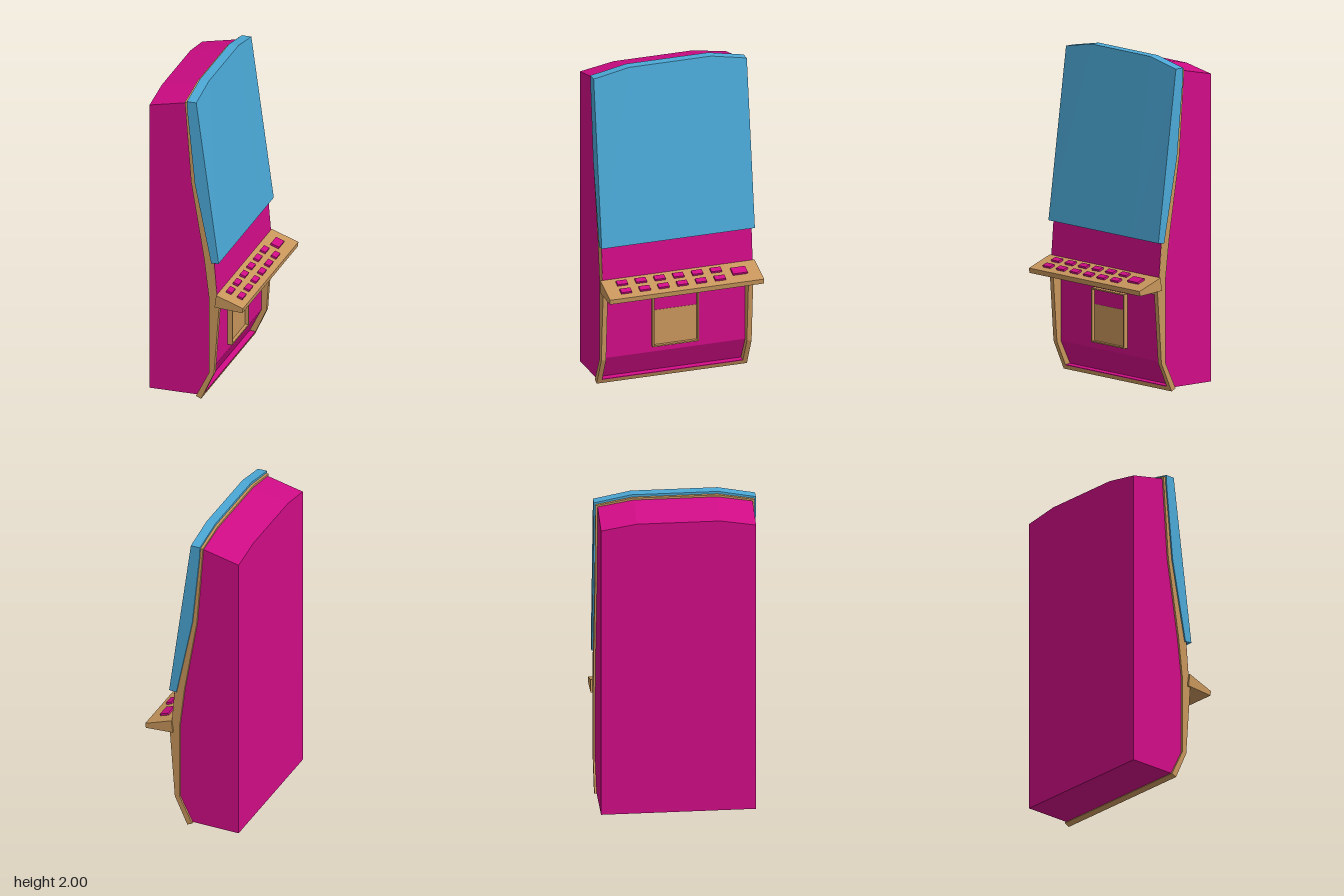
import * as THREE from 'three';

const paint = (color) => new THREE.MeshStandardMaterial({ color, flatShading: true });

export function createModel() {
  const group = new THREE.Group();
  const magenta = paint(0xd00c86);
  const tan = paint(0xc8965c);
  const blue = paint(0x4ba8d6);

  // Side profile [x, y] swept across the cabinet; points above 1.85 drop towards both sides
  function slab(name, profile, half, material, { drop = 0, flat = half / 2, z = 0 } = {}) {
    const shape = new THREE.Shape(profile.map(([x, y]) => new THREE.Vector2(x, y)));
    const geo = new THREE.ExtrudeGeometry(shape, { depth: 3, steps: 3, bevelEnabled: false });
    const stations = [-half, -flat, flat, half];
    const pos = geo.attributes.position;
    for (let i = 0; i < pos.count; i++) {
      const s = Math.round(pos.getZ(i));
      pos.setZ(i, stations[s]);
      if (pos.getY(i) > 1.85 && s % 3 === 0) pos.setY(i, pos.getY(i) - drop);
    }
    geo.computeVertexNormals();
    const mesh = new THREE.Mesh(geo, material);
    mesh.name = name;
    mesh.position.z = z;
    group.add(mesh);
    return mesh;
  }

  function box(name, w, h, d, x, y, z, material, parent = group) {
    const mesh = new THREE.Mesh(new THREE.BoxGeometry(w, h, d), material);
    mesh.name = name;
    mesh.position.set(x, y, z);
    parent.add(mesh);
    return mesh;
  }

  // Cabinet body, its lower front is the recessed panel
  slab('cabinetBody', [
    [-0.3, 0.015], [0, 0.02], [0.08, 0.18], [0.08, 0.68], [0.05, 0.93],
    [-0.03, 1.42], [-0.07, 1.972], [-0.3, 1.92],
  ], 0.464, magenta, { drop: 0.036, flat: 0.25 });

  // Upper trim between the body and the screen
  slab('upperTrim', [
    [0.08, 0.62], [0.14, 0.62], [0.13, 0.7], [0.11, 0.92], [0, 1.42],
    [-0.052, 1.985], [-0.072, 1.985], [-0.032, 1.42], [0.05, 0.93], [0.08, 0.68],
  ], 0.476, tan, { drop: 0.04, flat: 0.255 });

  // Side cheeks framing the lower panel
  for (const side of [-1, 1]) {
    slab(side > 0 ? 'leftCheek' : 'rightCheek', [
      [-0.002, 0.015], [0.03, 0], [0.112, 0.18], [0.145, 0.63], [0.08, 0.63], [0.08, 0.18],
    ], 0.015, tan, { z: side * 0.461 });
  }
  slab('topRail', [[0.07, 0.598], [0.1425, 0.598], [0.145, 0.63], [0.07, 0.63]], 0.46, tan);
  slab('bottomRail', [[-0.002, 0.015], [0.03, 0], [0.042, 0.027], [0.003, 0.03]], 0.46, tan);
  slab('bottomLedge', [[0.003, 0.028], [0.042, 0.025], [0.043, 0.03], [0.004, 0.034]], 0.445, magenta);

  // Panel between shelf and screen
  slab('upperPanel', [[0.127, 0.69], [0.132, 0.69], [0.113, 0.92], [0.108, 0.92]], 0.475, magenta);

  // Screen with a chamfered top
  slab('screen', [
    [0.098, 0.91], [0.145, 0.915], [0.003, 2], [-0.056, 2], [-0.053, 1.93], [-0.006, 1.42],
  ], 0.485, blue, { drop: 0.044, flat: 0.26 });

  // Sloping button shelf
  slab('buttonShelf', [[0.12, 0.625], [0.296, 0.615], [0.3, 0.645], [0.13, 0.705]], 0.488, tan);

  // Buttons follow the slope of the shelf
  const slope = (0.645 - 0.705) / 0.17;
  function button(name, x, z, w, d) {
    const b = box(name, w, 0.026, d, x, 0.705 + slope * (x - 0.13), z, magenta);
    b.rotation.z = Math.atan(slope);
  }
  for (let i = 0; i < 6; i++) {
    for (const x of [0.178, 0.247]) button('button', x, -0.225 + i * 0.119, 0.036, 0.066);
  }
  button('largeButton', 0.21, -0.36, 0.056, 0.092);

  // Small door in the lower panel
  const door = new THREE.Group();
  door.name = 'door';
  group.add(door);
  box('doorPlate', 0.02, 0.23, 0.28, 0.08, 0.335, 0.002, tan, door);
  box('doorWindow', 0.016, 0.1, 0.28, 0.08, 0.495, 0.002, magenta, door);
  for (const side of [-1, 1]) {
    box('doorSideRim', 0.035, 0.33, 0.008, 0.0925, 0.385, 0.002 + side * 0.141, tan, door);
    box('doorEndRim', 0.035, 0.008, 0.29, 0.0925, 0.385 + side * 0.161, 0.002, tan, door);
  }

  return group;
}
